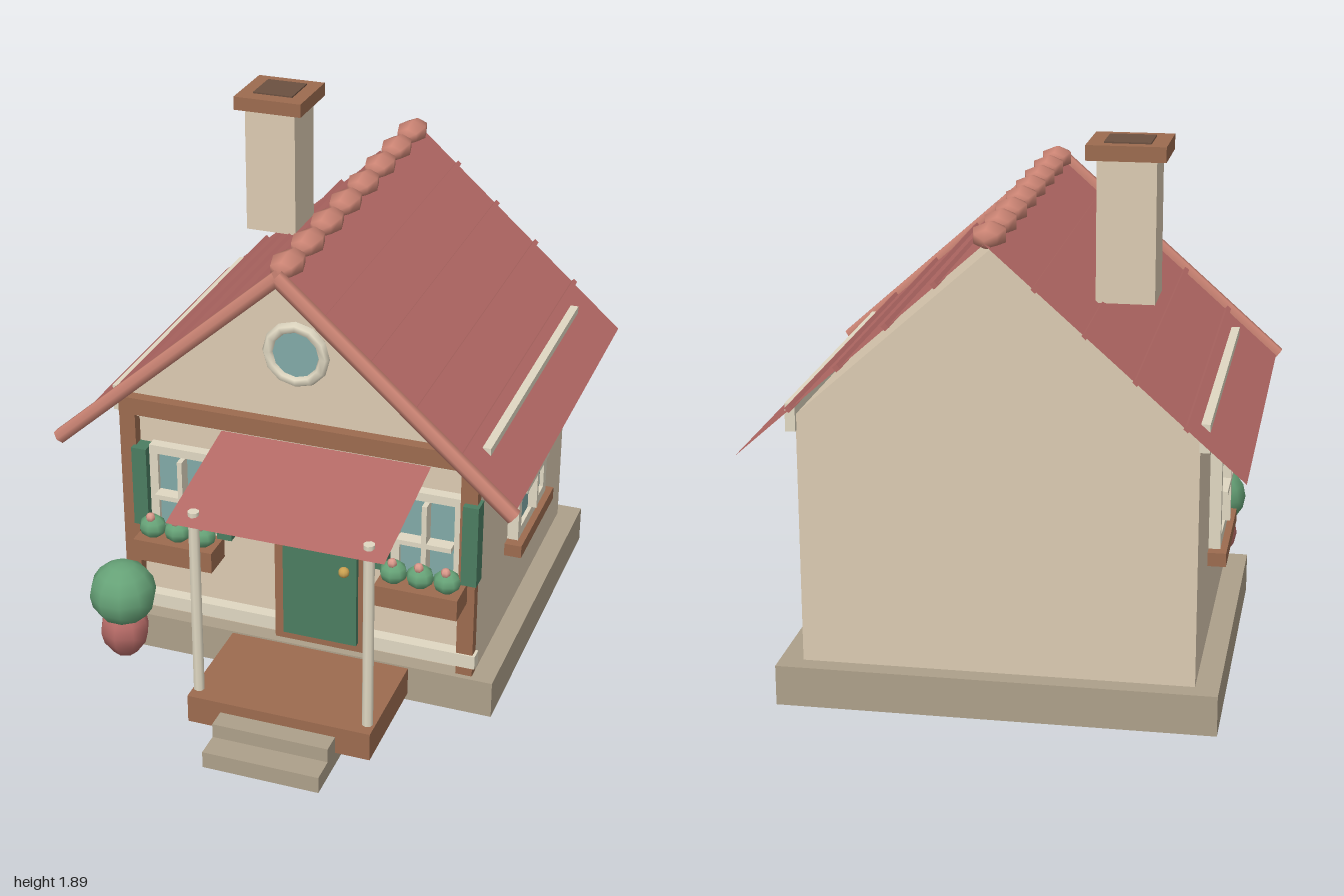
import * as THREE from 'three';

const COLORS = {
  wall: 0xdccbb2, cream: 0xe0d8c2, stone: 0xada08a, wood: 0x9c6b4f, roof: 0xb56a66, trim: 0xcb8474,
  green: 0x4b7d61, leaf: 0x66a277, glass: 0x82aaa7, pot: 0xb56a66, gold: 0xc9a050, soot: 0x6b5040, pink: 0xdb9a8c,
};
const mats = {};
for (const k in COLORS) mats[k] = new THREE.MeshStandardMaterial({ color: COLORS[k] });
mats.roof.side = THREE.DoubleSide;

function add(parent, name, geo, mat, x = 0, y = 0, z = 0) {
  const m = new THREE.Mesh(geo, mats[mat]);
  m.name = name;
  m.position.set(x, y, z);
  parent.add(m);
  return m;
}

// Box given by its limits on each axis
function box(parent, name, mat, x0, x1, y0, y1, z0, z1) {
  return add(parent, name, new THREE.BoxGeometry(x1 - x0, y1 - y0, z1 - z0), mat,
    (x0 + x1) / 2, (y0 + y1) / 2, (z0 + z1) / 2);
}

function group(parent, name) {
  const g = new THREE.Group();
  g.name = name;
  parent.add(g);
  return g;
}

// Framed window facing +z, centred on x = 0, with its back on z = 0
function makeWindow(parent, name, w, y0, y1, bar, barDepth) {
  const g = group(parent, name);
  const h = w / 2, d = 0.04, my = (y0 + y1) / 2;
  for (const s of [-1, 1]) {
    const x = s * (h - bar / 2);
    box(g, 'frameSide', 'cream', x - bar / 2, x + bar / 2, y0, y1, 0, d);
  }
  box(g, 'frameTop', 'cream', -h + bar, h - bar, y1 - bar, y1, 0, d);
  box(g, 'frameBottom', 'cream', -h + bar, h - bar, y0, y0 + bar, 0, d);
  box(g, 'glass', 'glass', -h + bar, h - bar, y0 + bar, y1 - bar, 0, 0.025);
  box(g, 'uprightBar', 'cream', -0.009, 0.009, y0 + bar, y1 - bar, 0.02, barDepth);
  box(g, 'crossBar', 'cream', -h + bar, h - bar, my - 0.009, my + 0.009, 0.02, barDepth);
  return g;
}

export function createModel() {
  const house = new THREE.Group();
  house.name = 'cottage';
  const FRONT = 0.33, BACK = -0.835, SIDE = 0.66;

  // Foundation and gabled body
  box(house, 'foundation', 'stone', -0.74, 0.74, 0, 0.14, -0.9, 0.39);
  const gable = new THREE.Shape([[-SIDE, 0.14], [SIDE, 0.14], [SIDE, 1.005], [0, 1.59], [-SIDE, 1.005]]
    .map(p => new THREE.Vector2(...p)));
  add(house, 'walls', new THREE.ExtrudeGeometry(gable, { depth: FRONT - BACK, bevelEnabled: false }), 'wall', 0, 0, BACK);

  // Front timbers and bands
  for (const s of [-1, 1]) {
    box(house, 'cornerPost', 'wood', s * 0.63 - 0.03, s * 0.63 + 0.03, 0.14, 0.96, FRONT, 0.37);
    box(house, 'eaveBoard', 'cream', s * 0.675 - 0.017, s * 0.675 + 0.017, 0.95, 1.045, -0.85, 0.345);
  }
  box(house, 'crossBeam', 'wood', -SIDE, SIDE, 0.955, 1.02, FRONT, 0.372);
  box(house, 'frieze', 'cream', -0.6, 0.6, 0.94, 0.955, FRONT, 0.35);
  box(house, 'baseBand', 'cream', -0.67, 0.67, 0.175, 0.227, FRONT, 0.376);

  // Roof: two thin slopes with battens and a round front edge
  const ridgeY = 1.632, eaveX = 0.82, eaveY = 0.905;
  const angle = Math.atan2(ridgeY - eaveY, eaveX);
  const length = Math.hypot(ridgeY - eaveY, eaveX);
  for (const s of [-1, 1]) {
    const slope = group(house, s > 0 ? 'leftRoof' : 'rightRoof');
    slope.position.set(0, ridgeY, 0);
    slope.rotation.z = s > 0 ? -angle : angle;
    const sheet = new THREE.PlaneGeometry(length, 1.5).rotateX(-Math.PI / 2);
    add(slope, 'roofSheet', sheet, 'roof', s * length / 2, 0, -0.25);
    for (const bx of [0.155, 0.313, 0.472, 0.632]) {
      const at = s * bx / Math.cos(angle);
      box(slope, 'batten', 'roof', at - 0.009, at + 0.009, -0.006, 0.014, -1, 0.49);
    }
    const edge = new THREE.CylinderGeometry(0.028, 0.028, length + 0.01, 6).rotateZ(Math.PI / 2);
    add(slope, 'roofEdge', edge, 'trim', s * length / 2, 0, 0.513);
  }
  for (let i = 0; i < 8; i++) {
    const cap = new THREE.SphereGeometry(1, 6, 4).rotateY(Math.PI / 6).rotateX(Math.PI / 2);
    cap.rotateZ(0).scale(0.06, 0.043, 0.093);
    add(house, 'ridgeCap', cap, 'trim', 0, 1.642, 0.411 - i * 0.1885);
  }

  // Chimney
  const chimney = group(house, 'chimney');
  box(chimney, 'stack', 'wall', -0.485, -0.292, 1.365, 1.835, -0.62, -0.425);
  box(chimney, 'cap', 'wood', -0.518, -0.26, 1.835, 1.885, -0.655, -0.4);
  box(chimney, 'flue', 'soot', -0.465, -0.313, 1.87, 1.89, -0.61, -0.458);

  // Round gable window
  const round = group(house, 'roundWindow');
  round.position.set(0, 1.28, FRONT);
  add(round, 'ring', new THREE.TorusGeometry(0.101, 0.021, 6, 12), 'cream', 0, 0, 0.015);
  add(round, 'glass', new THREE.CylinderGeometry(0.09, 0.09, 0.02, 12).rotateX(Math.PI / 2), 'glass', 0, 0, 0.01);

  // Side windows with sills
  for (const s of [-1, 1]) {
    const w = makeWindow(house, 'sideWindow', 0.385, 0.47, 0.84, 0.038, 0.058);
    w.position.set(s * SIDE, 0, -0.238);
    w.rotation.y = s * Math.PI / 2;
    box(w, 'sill', 'wood', -0.228, 0.228, 0.42, 0.468, 0, 0.063);
  }

  // Front windows with shutters and flower boxes
  for (const x of [-0.42, 0.483]) {
    const w = makeWindow(house, 'frontWindow', 0.26, 0.47, 0.845, 0.032, 0.075);
    w.position.set(x, 0, FRONT);
    for (const s of [-1, 1]) {
      box(w, 'shutter', 'green', s * 0.16 - 0.028, s * 0.16 + 0.028, 0.525, 0.835, 0, 0.065);
    }
    box(w, 'flowerBox', 'wood', -0.15, 0.15, 0.44, 0.52, 0.04, 0.162);
    for (const px of [-0.096, 0, 0.096]) {
      add(w, 'plant', new THREE.SphereGeometry(0.05, 8, 6).scale(1, 0.86, 0.92), 'leaf', px, 0.556, 0.108);
      add(w, 'blossom', new THREE.SphereGeometry(0.018, 6, 5), 'pink', px, 0.6, 0.124);
    }
  }

  // Door
  const door = group(house, 'door');
  box(door, 'doorFrame', 'wood', -0.07, 0.283, 0.16, 0.84, FRONT, 0.39);
  box(door, 'doorPanel', 'green', -0.032, 0.243, 0.197, 0.822, FRONT, 0.41);
  add(door, 'doorKnob', new THREE.SphereGeometry(0.02, 10, 8), 'gold', 0.2, 0.502, 0.42);

  // Porch deck, steps, posts and sloping canopy
  const porch = group(house, 'porch');
  box(porch, 'deck', 'wood', -0.225, 0.441, 0.05, 0.155, 0.42, 0.835);
  box(porch, 'lowerStep', 'stone', -0.103, 0.317, 0, 0.062, 0.76, 1);
  box(porch, 'upperStep', 'stone', -0.103, 0.317, 0.062, 0.115, 0.76, 0.908);
  for (const x of [-0.205, 0.413]) {
    add(porch, 'post', new THREE.CylinderGeometry(0.02, 0.02, 0.71, 8), 'cream', x, 0.51, 0.777);
  }
  const run = 0.5, rise = 0.1;
  const canopy = add(porch, 'canopy', new THREE.PlaneGeometry(0.765, Math.hypot(run, rise)), 'roof', 0.103, 0.89, 0.59);
  canopy.rotation.x = -Math.PI / 2 + Math.atan2(rise, run);

  // Potted shrub
  const shrub = group(house, 'pottedShrub');
  shrub.position.set(-0.597, 0, 0.54);
  const profile = [[0, 0.052], [0.045, 0.075], [0.08, 0.125], [0.091, 0.17], [0.084, 0.21], [0.066, 0.24], [0, 0.245]];
  add(shrub, 'pot', new THREE.LatheGeometry(profile.map(p => new THREE.Vector2(...p)), 8), 'pot');
  add(shrub, 'foliage', new THREE.SphereGeometry(0.121, 10, 8), 'leaf', 0, 0.322, 0);

  return house;
}
